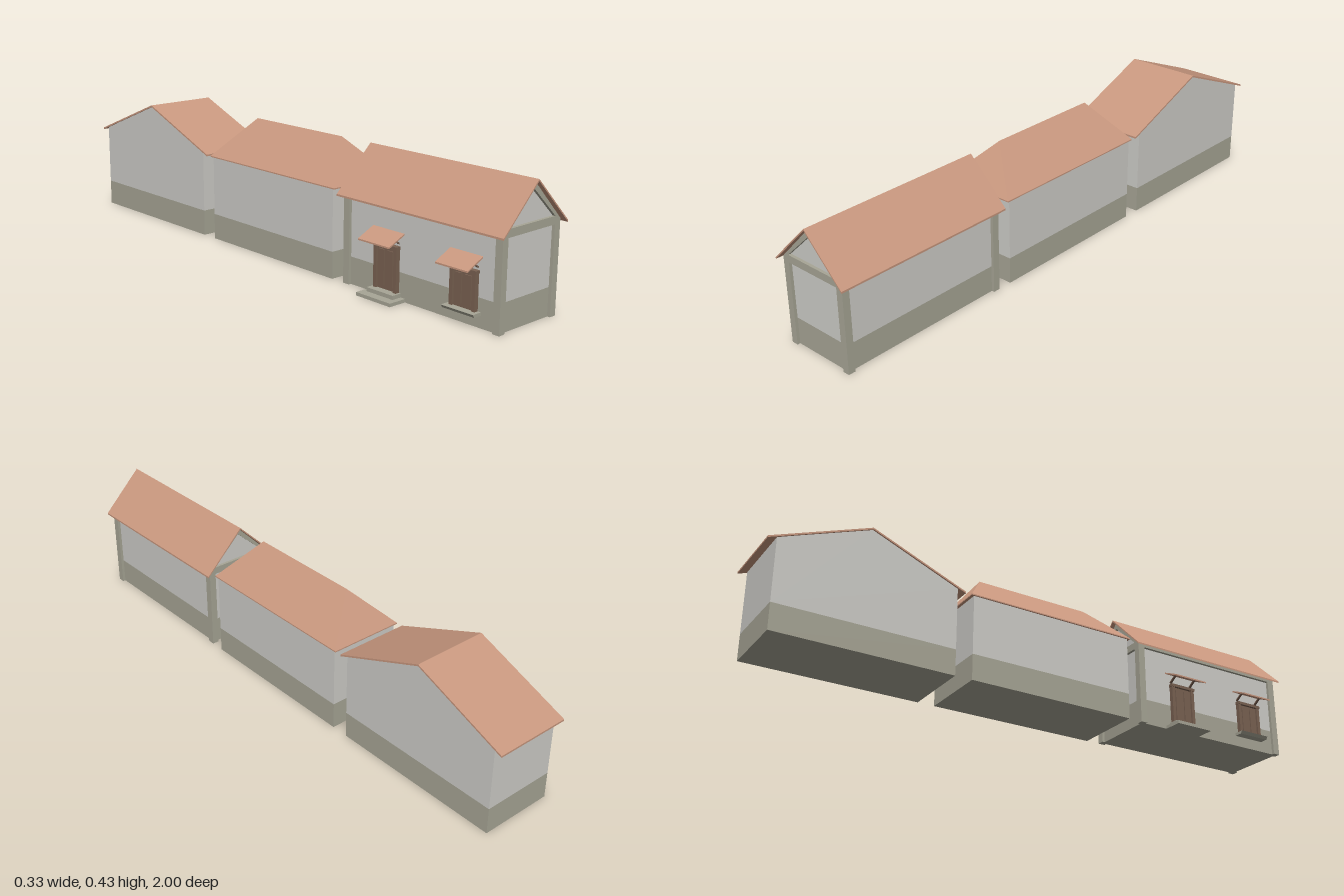
import * as THREE from 'three';

const mat = (name, color) => {
  const m = new THREE.MeshStandardMaterial({ color });
  m.name = name;
  return m;
};

export function createModel() {
  const plaster = mat('plaster', 0xcfcec9);
  const stone = mat('stone', 0xa8a696);
  const tile = mat('roofTile', 0xc9987f);
  const wood = mat('darkWood', 0x7a6252);

  const X0 = -0.11, X1 = 0.145, XC = 0.0175, PLINTH = 0.09, RIDGE = 0.432;
  const model = new THREE.Group();
  model.name = 'houseRow';

  const group = (name) => {
    const g = new THREE.Group();
    g.name = name;
    model.add(g);
    return g;
  };
  const add = (parent, name, geo, material) => {
    const m = new THREE.Mesh(geo, material);
    m.name = name;
    parent.add(m);
    return m;
  };
  // box given by its limits
  const box = (parent, name, material, x0, x1, y0, y1, z0, z1) => {
    const g = new THREE.BoxGeometry(x1 - x0, y1 - y0, z1 - z0);
    g.translate((x0 + x1) / 2, (y0 + y1) / 2, (z0 + z1) / 2);
    return add(parent, name, g, material);
  };
  const shape = (pts) => new THREE.Shape(pts.map(([a, b]) => new THREE.Vector2(a, b)));
  // profile in x,y pulled along z
  const alongZ = (s, z0, z1) =>
    new THREE.ExtrudeGeometry(s, { depth: z1 - z0, bevelEnabled: false }).translate(0, 0, z0);
  // profile in z,y pulled along x
  const alongX = (s, x0, x1) =>
    new THREE.ExtrudeGeometry(s, { depth: x1 - x0, bevelEnabled: false }).rotateY(-Math.PI / 2).translate(x1, 0, 0);
  // thin folded roof profile
  const chevron = (mid, half, eave, t) => shape([
    [mid - half, eave], [mid - half, eave - t], [mid, RIDGE - t],
    [mid + half, eave - t], [mid + half, eave], [mid, RIDGE],
  ]);

  // ---- front house: framed, gables facing front and back ----
  const a = group('framedHouse');
  const Z0 = 0.36, Z1 = 0.985, IN = 0.01;
  box(a, 'plinth', stone, X0 + IN, X1 - IN, 0, PLINTH, Z0 + IN, Z1 - IN);
  add(a, 'walls', alongZ(shape([
    [X0 + IN, PLINTH], [X1 - IN, PLINTH], [X1 - IN, 0.3], [XC, 0.42], [X0 + IN, 0.3],
  ]), Z0 + IN, Z1 - IN), plaster);

  // end frames with an open bay below and a triangle above
  const P0 = -0.087, P1 = 0.121;
  const frame = shape([
    [X0, 0], [P0, 0], [P0, 0.28], [P1, 0.28], [P1, 0], [X1, 0], [X1, 0.295], [XC, 0.425], [X0, 0.295],
  ]);
  frame.holes.push(new THREE.Path([[P0, 0.305], [XC, 0.402], [P1, 0.305]].map(([u, v]) => new THREE.Vector2(u, v))));
  for (const [z0, z1] of [[Z0, Z0 + 0.012], [Z1 - 0.012, Z1]])
    add(a, 'gableFrame', alongZ(frame, z0, z1), stone);
  for (const [x0, x1] of [[X0, P0], [P1, X1]]) {
    box(a, 'cornerPost', stone, x0, x1, 0, 0.294, Z0 + 0.012, Z0 + 0.025);
    box(a, 'cornerPost', stone, x0, x1, 0, 0.294, Z1 - 0.025, Z1 - 0.012);
    box(a, 'wallPlate', stone, x0, x1, 0.284, 0.294, Z0 + 0.025, Z1 - 0.025);
  }
  add(a, 'roof', alongZ(chevron(XC, 0.1445, 0.289, 0.006), 0.345, 1), tile);

  // ---- entrances on the x- side ----
  const WALL = X0 + IN;
  const entrance = (zc, half, y0) => {
    const e = new THREE.Group();
    e.name = 'entrance';
    a.add(e);
    const d = 0.042;
    box(e, 'doorLeaf', wood, X0 + 0.002, WALL, y0, 0.165, zc - d, zc + d);
    for (const s of [-1, 1]) {
      box(e, 'doorJamb', wood, -0.115, WALL, y0, 0.165, zc + s * d - 0.006, zc + s * d + 0.006);
      box(e, 'doorPanel', wood, X0 - 0.002, WALL, y0 + 0.012, 0.15, zc + s * 0.018 - 0.012, zc + s * 0.018 + 0.012);
      // sloping strut under the canopy
      add(e, 'canopyStrut', alongZ(shape([
        [WALL, 0.176], [WALL, 0.181], [-0.128, 0.199], [-0.131, 0.196],
      ]), zc + s * d - 0.004, zc + s * d + 0.004), wood);
    }
    box(e, 'lintel', wood, -0.117, WALL, 0.16, 0.17, zc - d - 0.008, zc + d + 0.008);
    add(e, 'canopy', alongZ(shape([
      [-0.165, 0.178], [WALL, 0.208], [WALL, 0.213], [-0.165, 0.183],
    ]), zc - half, zc + half), tile);
    return e;
  };
  const near = entrance(0.545, 0.065, 0.024);
  box(near, 'lowerStep', stone, -0.165, WALL, 0, 0.011, 0.475, 0.618);
  box(near, 'upperStep', stone, -0.135, WALL, 0.011, 0.024, 0.49, 0.6);
  const far = entrance(0.85, 0.06, 0.048);
  add(far, 'threshold', alongZ(shape([
    [-0.128, 0.038], [WALL, 0.038], [WALL, 0.048], [-0.135, 0.048],
  ]), 0.79, 0.91), stone);

  // ---- middle house: hipped roof ----
  const b = group('hippedHouse');
  box(b, 'plinth', stone, X0, X1, 0, PLINTH, -0.3, 0.31);
  box(b, 'walls', plaster, X0, X1, PLINTH, 0.297, -0.3, 0.31);
  box(b, 'eaves', tile, -0.115, 0.15, 0.296, 0.3, -0.31, 0.32);
  const e = [[-0.115, 0.3, 0.32], [0.15, 0.3, 0.32], [0.15, 0.3, -0.31], [-0.115, 0.3, -0.31]];
  const rf = [XC, RIDGE, 0.215], rb = [XC, RIDGE, -0.21];
  const tris = [
    e[0], e[1], rf, e[2], e[3], rb,
    e[1], e[2], rb, e[1], rb, rf,
    e[3], e[0], rf, e[3], rf, rb,
  ];
  const hip = new THREE.BufferGeometry();
  hip.setAttribute('position', new THREE.Float32BufferAttribute(tris.flat(), 3));
  hip.computeVertexNormals();
  add(b, 'hippedRoof', hip, tile);

  // ---- rear house: gables facing the sides ----
  const c = group('crossGabledHouse');
  const ZC = -0.666;
  box(c, 'plinth', stone, X0, X1, 0, PLINTH, -0.97, -0.36);
  add(c, 'walls', alongX(shape([
    [-0.97, PLINTH], [-0.36, PLINTH], [-0.36, 0.305], [ZC, 0.428], [-0.97, 0.305],
  ]), X0, X1), plaster);
  add(c, 'roof', alongX(chevron(ZC, 0.333, 0.3, 0.006), -0.115, 0.15), tile);

  return model;
}
